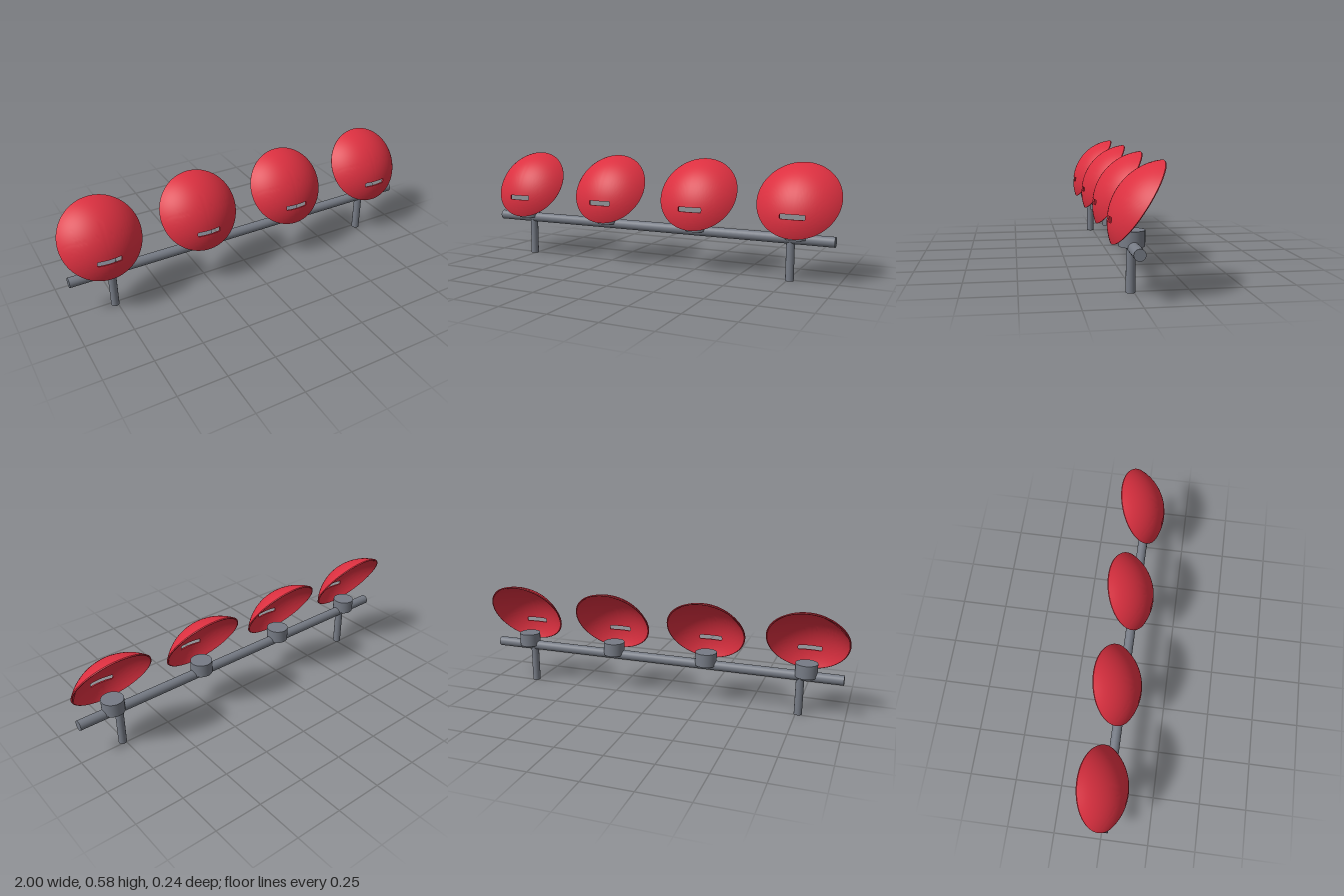
import * as THREE from 'three';
import { toCreasedNormals } from 'three/addons/utils/BufferGeometryUtils.js';

const clamp = THREE.MathUtils.clamp;

// Thin spherical cap with a slot: loops run from the slot outline out to the rim
// on the convex side, around the rim, and back to the slot on the hollow side.
function dishGeometry() {
  const rim = 0.21, R = 0.27, thickness = 0.008, slotY = -0.124;
  const around = 96, rings = 18;
  const drop = Math.sqrt(R * R - rim * rim);

  const loops = [];
  for (let i = 0; i <= rings; i++) loops.push([i / rings, 0]);
  loops.push([1.008, 0.5]);
  for (let i = rings; i >= 0; i--) loops.push([i / rings, 1]);

  const positions = [], index = [];
  for (const [f, depth] of loops) {
    for (let j = 0; j < around; j++) {
      const a = (j / around) * Math.PI * 2, c = Math.cos(a), s = Math.sin(a);
      const sx = 0.0525 * clamp(c * 1.3, -1, 1) + 0.01 * c;
      const sy = slotY + 0.0105 * clamp(s * 1.6, -1, 1) + sx * sx;
      const x = sx + (rim * c - sx) * f;
      const y = sy + (rim * s - sy) * f;
      const z = Math.sqrt(R * R - x * x - y * y);
      const k = 1 - (depth * thickness) / R;
      positions.push(x * k, y * k, z * k - drop);
    }
  }
  const n = loops.length;
  for (let i = 0; i < n; i++) {
    for (let j = 0; j < around; j++) {
      const i2 = (i + 1) % n, j2 = (j + 1) % around;
      const a = i * around + j, b = i2 * around + j;
      const c = i2 * around + j2, d = i * around + j2;
      index.push(a, b, c, a, c, d);
    }
  }
  const g = new THREE.BufferGeometry();
  g.setAttribute('position', new THREE.Float32BufferAttribute(positions, 3));
  g.setIndex(index);
  return toCreasedNormals(g, 0.8);
}

export function createModel() {
  const red = new THREE.MeshStandardMaterial({ color: 0xdc3040 });
  red.name = 'red plate';
  const grey = new THREE.MeshStandardMaterial({ color: 0x767b85 });
  grey.name = 'grey metal';

  const model = new THREE.Group();
  model.name = 'targetRack';
  const axisZ = 0.015;

  const add = (name, geometry, material, x, y, z) => {
    const mesh = new THREE.Mesh(geometry, material);
    mesh.name = name;
    mesh.position.set(x, y, z);
    model.add(mesh);
    return mesh;
  };

  // Long horizontal bar
  const bar = add('crossbar', new THREE.CylinderGeometry(0.026, 0.026, 1.96, 32), grey, 0, 0.212, axisZ);
  bar.rotation.z = Math.PI / 2;

  // Two legs under the bar
  const leg = new THREE.CylinderGeometry(0.021, 0.021, 0.205, 32);
  for (const side of [-1, 1]) add(side > 0 ? 'leftLeg' : 'rightLeg', leg, grey, side * 0.762, 0.1025, axisZ);

  // Four mounts, each with a dish leaning back
  const mount = new THREE.CylinderGeometry(0.057, 0.057, 0.07, 32);
  const dish = dishGeometry();
  [-0.79, -0.2633, 0.2633, 0.79].forEach((x, i) => {
    add(`mount${i + 1}`, mount, grey, x, 0.247, axisZ);
    add(`dish${i + 1}`, dish, red, x, 0.402, -0.006).rotation.x = -0.566;
  });

  return model;
}
